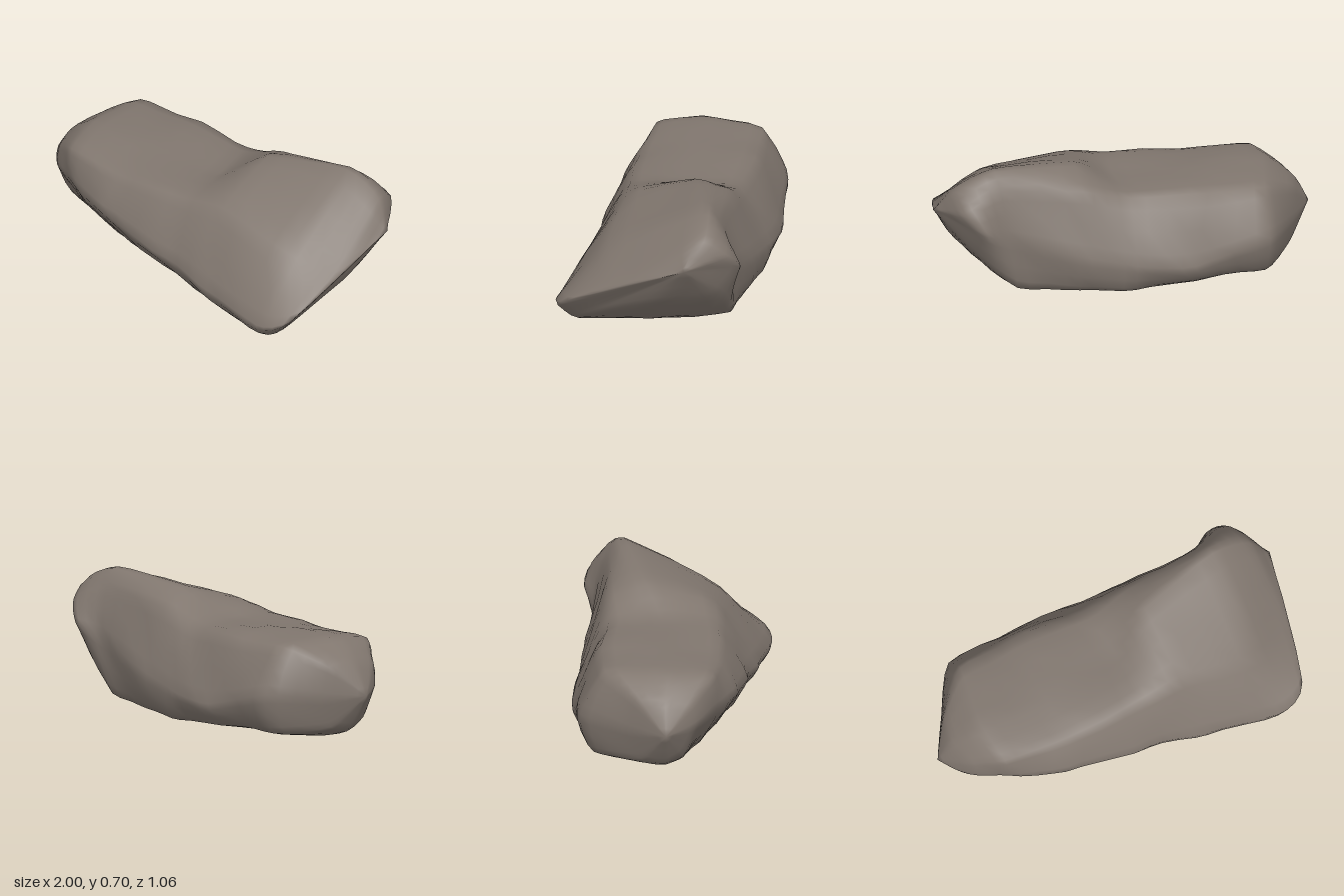
import * as THREE from 'three';

// Lengthwise rails of the boulder, each running from the -x end to the +x end as x, y, z.
const frontRails = [
  // lower front edge
  [-0.88, 0.12, 0.02, -0.72, 0.05, 0.03, -0.42, 0.045, 0.14, 0, 0.06, 0.27, 0.3, 0.045, 0.35, 0.65, 0.03, 0.41, 0.78, 0.12, 0.37],
  // front face
  [-0.9, 0.28, 0.09, -0.73, 0.31, 0.2, -0.46, 0.29, 0.315, 0, 0.22, 0.385, 0.3, 0.18, 0.44, 0.67, 0.15, 0.525, 0.85, 0.22, 0.44],
  // front shoulder
  [-0.9, 0.39, 0.06, -0.74, 0.49, 0.17, -0.4, 0.485, 0.22, 0, 0.51, 0.225, 0.25, 0.54, 0.22, 0.67, 0.455, 0.26, 0.91, 0.37, 0.17],
  // crest
  [-0.91, 0.42, -0.07, -0.76, 0.53, -0.05, -0.4, 0.53, -0.04, 0.03, 0.525, -0.06, 0.26, 0.66, -0.15, 0.7, 0.71, -0.23, 0.91, 0.615, -0.22],
];
const backRails = [
  // back shoulder
  [-0.88, 0.41, -0.22, -0.7, 0.51, -0.37, -0.4, 0.515, -0.38, 0, 0.515, -0.34, 0.25, 0.57, -0.33, 0.68, 0.62, -0.33, 0.88, 0.54, -0.37],
  // back face
  [-0.88, 0.25, -0.25, -0.7, 0.28, -0.5, -0.3, 0.18, -0.525, 0, 0.2, -0.505, 0.3, 0.27, -0.45, 0.65, 0.37, -0.39, 0.8, 0.435, -0.44],
  // lower back edge
  [-0.87, 0.1, -0.2, -0.69, 0.07, -0.43, -0.4, 0.07, -0.45, 0, 0.04, -0.45, 0.28, 0.05, -0.4, 0.6, 0.08, -0.36, 0.82, 0.28, -0.31],
  // underside
  [-0.89, 0.08, -0.07, -0.7, 0.005, -0.08, -0.4, 0.025, -0.09, 0, 0.035, -0.07, 0.3, 0.045, -0.02, 0.65, 0.05, 0.05, 0.86, 0.23, 0.02],
];

// Small uneven dents and bumps
function bump(p) {
  return 0.004 * Math.sin(11 * p.x + 7 * p.z + 1)
       + 0.004 * Math.sin(17 * p.y - 13 * p.x + 2)
       + 0.003 * Math.sin(29 * p.z + 22 * p.y + 18 * p.x);
}

function boulderGeometry(along, around) {
  const left = new THREE.Vector3(-1, 0.26, -0.07);
  const right = new THREE.Vector3(1, 0.48, -0.17);
  const rails = [...frontRails, ...backRails].map((r) => {
    const pts = [left];
    for (let i = 0; i < r.length; i += 3) pts.push(new THREE.Vector3(r[i], r[i + 1], r[i + 2]));
    pts.push(right);
    return new THREE.CatmullRomCurve3(pts, false, 'catmullrom', 0.3);
  });

  // Rings between the two end points
  const pos = [];
  const centre = new THREE.Vector3();
  for (let i = 1; i < along; i++) {
    const ringPts = rails.map((c) => c.getPoint(i / along));
    const ring = new THREE.CatmullRomCurve3(ringPts, true, 'catmullrom', 0.25);
    centre.set(0, 0, 0);
    ringPts.forEach((p) => centre.addScaledVector(p, 1 / ringPts.length));
    for (let j = 0; j < around; j++) {
      const p = ring.getPoint(j / around);
      const out = p.clone().sub(centre).normalize();
      p.addScaledVector(out, bump(p));
      pos.push(p.x, Math.max(p.y, 0), p.z);
    }
  }
  const a = pos.length / 3, b = a + 1;
  pos.push(...left.toArray(), ...right.toArray());

  const index = [];
  const last = (along - 2) * around;
  for (let j = 0; j < around; j++) {
    const k = (j + 1) % around;
    index.push(a, j, k, b, last + k, last + j);
    for (let i = 0; i < last; i += around) {
      index.push(i + j, i + around + j, i + k, i + k, i + around + j, i + around + k);
    }
  }
  const g = new THREE.BufferGeometry();
  g.setAttribute('position', new THREE.Float32BufferAttribute(pos, 3));
  g.setIndex(index);
  g.computeVertexNormals();
  return g;
}

export function createModel() {
  const group = new THREE.Group();
  group.name = 'rock';
  const stone = new THREE.MeshStandardMaterial({ color: 0x80766e });
  stone.name = 'stone';
  const boulder = new THREE.Mesh(boulderGeometry(32, 32), stone);
  boulder.name = 'boulder';
  group.add(boulder);
  return group;
}
